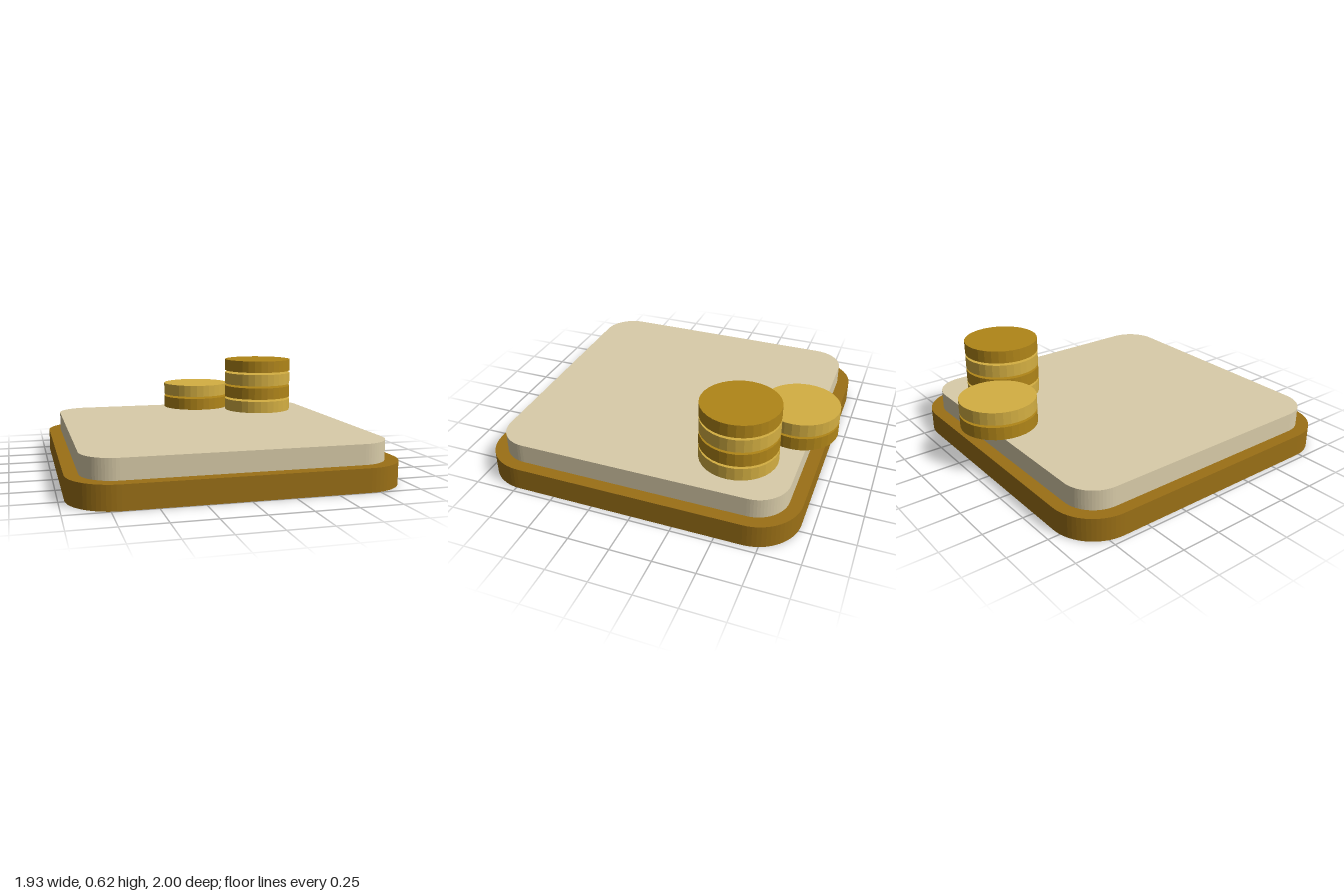
import * as THREE from 'three';

const material = (color) => new THREE.MeshStandardMaterial({ color, flatShading: true });

// Flat slab with rounded corners, lying on the ground plane at height y
function roundedSlab(name, halfX, halfZ, radius, height, y, mat) {
  const x = halfX - radius, z = halfZ - radius;
  const shape = new THREE.Shape();
  shape.absarc(x, z, radius, 0, Math.PI / 2);
  shape.absarc(-x, z, radius, Math.PI / 2, Math.PI);
  shape.absarc(-x, -z, radius, Math.PI, Math.PI * 1.5);
  shape.absarc(x, -z, radius, Math.PI * 1.5, Math.PI * 2);
  const geometry = new THREE.ExtrudeGeometry(shape, { depth: height, bevelEnabled: false, curveSegments: 8 });
  geometry.rotateX(-Math.PI / 2);
  const mesh = new THREE.Mesh(geometry, mat);
  mesh.name = name;
  mesh.position.set(0, y, 0.035);
  return mesh;
}

// Stack of thin discs with small gaps, alternating two colours
function discStack(name, x, z, count, mats) {
  const stack = new THREE.Group();
  stack.name = name;
  const geometry = new THREE.CylinderGeometry(0.235, 0.235, 0.08, 32);
  for (let i = 0; i < count; i++) {
    const disc = new THREE.Mesh(geometry, mats[i % 2]);
    disc.name = `disc${i + 1}`;
    disc.position.y = 0.04 + i * 0.095;
    stack.add(disc);
  }
  stack.position.set(x, 0.26, z);
  return stack;
}

export function createModel() {
  const model = new THREE.Group();
  model.name = 'trayWithDiscs';
  const bronze = material(0x9b7016);
  const cream = material(0xd9cca9);
  const gold = material(0xd4af42);
  const darkGold = material(0xb08518);

  // Base and raised top panel
  model.add(roundedSlab('base', 0.965, 0.965, 0.27, 0.14, 0, bronze));
  model.add(roundedSlab('topPanel', 0.887, 0.887, 0.195, 0.12, 0.14, cream));

  // Disc stacks at the back edge
  model.add(discStack('tallStack', 0.53, -0.5, 4, [gold, darkGold]));
  model.add(discStack('shortStack', 0.13, -0.765, 2, [darkGold, gold]));
  return model;
}
